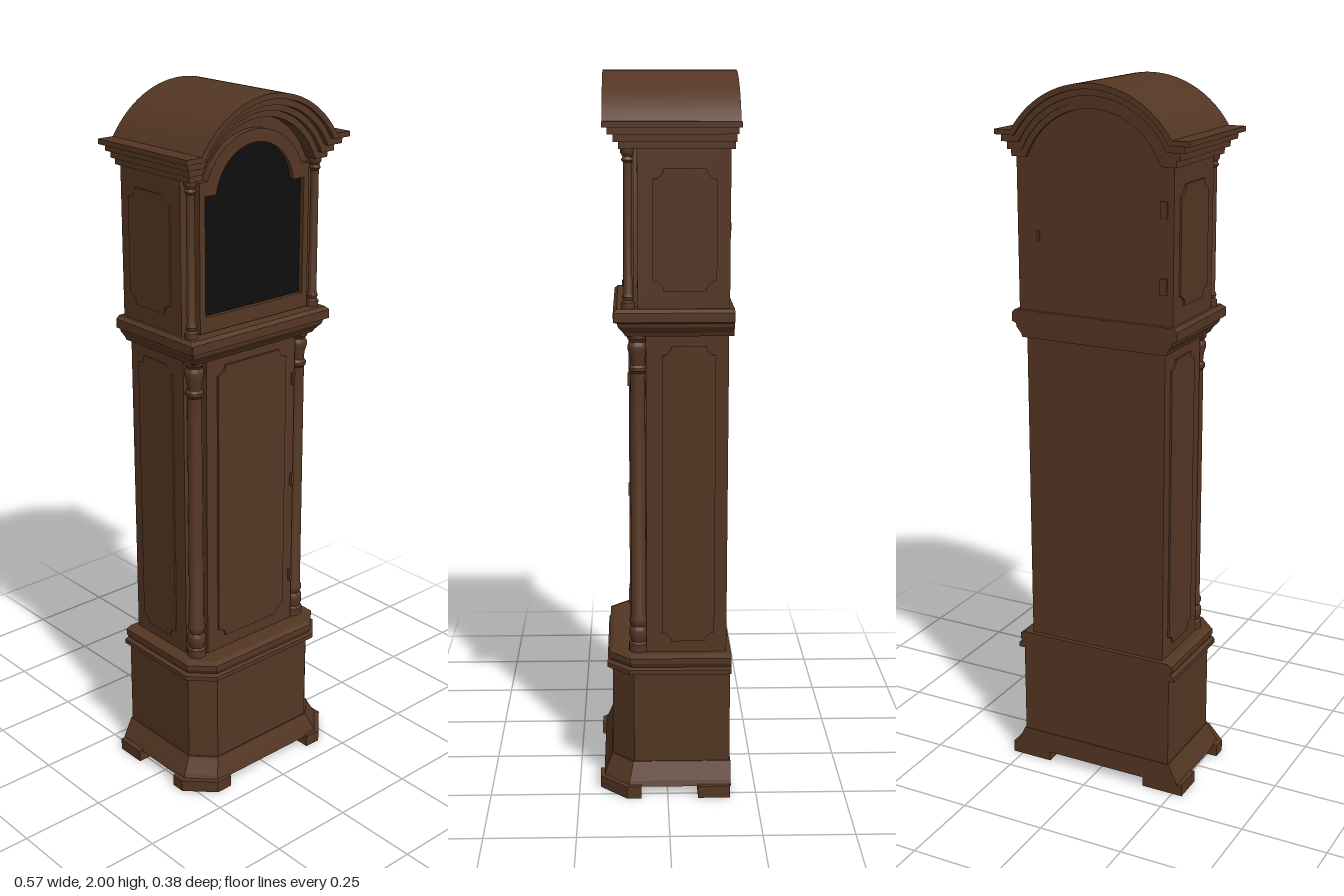
import * as THREE from 'three';
import { toCreasedNormals } from 'three/addons/utils/BufferGeometryUtils.js';

export function createModel() {
  const group = new THREE.Group();
  const wood = new THREE.MeshStandardMaterial({ color: 0x543623 });
  wood.name = 'brown wood';
  const dark = new THREE.MeshStandardMaterial({ color: 0x0e0e0e });
  dark.name = 'dark glass';

  const add = (name, geo, mat = wood) => {
    const m = new THREE.Mesh(geo, mat);
    m.name = name;
    group.add(m);
    return m;
  };
  const box = (name, x0, x1, y0, y1, z0, z1) => {
    const m = add(name, new THREE.BoxGeometry(x1 - x0, y1 - y0, z1 - z0));
    m.position.set((x0 + x1) / 2, (y0 + y1) / 2, (z0 + z1) / 2);
    return m;
  };
  // Extrude a front-facing shape between two depths
  const slab = (name, shape, z0, z1, mat) => {
    const g = new THREE.ExtrudeGeometry(shape, { depth: z1 - z0, bevelEnabled: false, curveSegments: 32 });
    g.translate(0, 0, z0);
    return add(name, toCreasedNormals(g, 0.5), mat);
  };

  // Stack of footprints with cut front corners: [y, half width, front z, corner cut]
  const loft = (name, levels, back) => {
    const pos = [];
    const rings = levels.map(([y, w, f, c]) => [
      [-w + c, y, f], [w - c, y, f], [w, y, f - c], [w, y, back], [-w, y, back], [-w, y, f - c],
    ]);
    const tri = (a, b, c) => pos.push(...a, ...b, ...c);
    for (let k = 0; k + 1 < rings.length; k++) {
      for (let i = 0; i < 6; i++) {
        const j = (i + 1) % 6, lo = rings[k], hi = rings[k + 1];
        tri(lo[i], lo[j], hi[j]);
        tri(lo[i], hi[j], hi[i]);
      }
    }
    const bottom = rings[0], top = rings[rings.length - 1];
    for (let i = 1; i < 5; i++) {
      tri(top[0], top[i], top[i + 1]);
      tri(bottom[0], bottom[i + 1], bottom[i]);
    }
    const g = new THREE.BufferGeometry();
    g.setAttribute('position', new THREE.Float32BufferAttribute(pos, 3));
    g.computeVertexNormals();
    return add(name, g);
  };

  // Panel outline with scooped corners
  const scooped = (w, h, r) => {
    const s = new THREE.Shape(), x = w / 2, y = h / 2;
    s.moveTo(-x + r, -y);
    s.lineTo(x - r, -y);
    s.absarc(x, -y, r, Math.PI, Math.PI / 2, true);
    s.lineTo(x, y - r);
    s.absarc(x, y, r, -Math.PI / 2, -Math.PI, true);
    s.lineTo(-x + r, y);
    s.absarc(-x, y, r, 0, -Math.PI / 2, true);
    s.lineTo(-x, -y + r);
    s.absarc(-x, -y, r, Math.PI / 2, 0, true);
    return s;
  };

  // Outline with straight sides, shoulders and an arched top
  const arched = (w, y0, shoulder, cy, r, Type = THREE.Shape) => {
    const s = new Type(), a = Math.asin((shoulder - cy) / r);
    s.moveTo(-w, y0);
    s.lineTo(w, y0);
    s.lineTo(w, shoulder);
    s.absarc(0, cy, r, a, Math.PI - a, false);
    s.lineTo(-w, shoulder);
    s.closePath();
    return s;
  };

  // Feet
  for (const s of [-1, 1]) {
    const plan = new THREE.Shape([[0.155, 0.19], [0.205, 0.19], [0.28, 0.115], [0.28, 0.075], [0.155, 0.075]]
      .map(([x, z]) => new THREE.Vector2(s * x, -z)));
    const g = new THREE.ExtrudeGeometry(plan, { depth: 0.035, bevelEnabled: false });
    g.rotateX(-Math.PI / 2);
    add('frontFoot', g);
    box('backFoot', s > 0 ? 0.155 : -0.28, s > 0 ? 0.28 : -0.155, 0, 0.035, -0.175, -0.085);
  }

  // Base
  loft('skirting', [[0.03, 0.268, 0.18, 0.07], [0.045, 0.262, 0.175, 0.068], [0.085, 0.242, 0.16, 0.062],
    [0.093, 0.238, 0.157, 0.06]], -0.178);
  loft('base', [[0.09, 0.235, 0.154, 0.06], [0.365, 0.235, 0.154, 0.06]], -0.175);
  loft('baseMoulding', [[0.36, 0.252, 0.168, 0.062], [0.373, 0.252, 0.168, 0.062], [0.377, 0.24, 0.158, 0.06],
    [0.39, 0.246, 0.163, 0.06], [0.405, 0.246, 0.163, 0.06], [0.412, 0.232, 0.15, 0.058]], -0.178);

  // Trunk with its door
  box('trunk', -0.21, 0.21, 0.41, 1.315, -0.165, 0.058);
  box('trunkFront', -0.163, 0.163, 0.41, 1.315, 0.05, 0.098);
  slab('trunkDoorPanel', scooped(0.25, 0.83, 0.026), 0.098, 0.104).position.y = 0.865;
  for (const y of [0.56, 0.87, 1.18]) box('trunkDoorHinge', 0.15, 0.158, y - 0.018, y + 0.018, 0.095, 0.107);

  // Raised side panels on trunk and hood
  for (const s of [-1, 1]) {
    const trunkPanel = slab('trunkSidePanel', scooped(0.145, 0.835, 0.025), 0, 0.005);
    trunkPanel.rotation.y = s * Math.PI / 2;
    trunkPanel.position.set(s * 0.21, 0.862, -0.058);
    const hoodPanel = slab('hoodSidePanel', scooped(0.17, 0.32, 0.028), 0, 0.005);
    hoodPanel.rotation.y = s * Math.PI / 2;
    hoodPanel.position.set(s * 0.232, 1.59, -0.045);
  }

  // Turned columns, profile given as [radius, height]
  const column = (name, profile, x, z) => {
    const g = new THREE.LatheGeometry(profile.map(([r, y]) => new THREE.Vector2(r, y)), 20);
    add(name, toCreasedNormals(g, 0.6)).position.set(x, 0, z);
  };
  const trunkProfile = [[0.027, 0.41], [0.027, 0.435], [0.021, 0.44], [0.026, 0.455], [0.026, 0.475], [0.02, 0.485],
    [0.025, 0.497], [0.025, 0.505], [0.021, 0.515], [0.02, 1.205], [0.025, 1.212], [0.025, 1.22], [0.019, 1.228],
    [0.021, 1.25], [0.027, 1.27], [0.027, 1.28], [0.021, 1.29], [0.028, 1.3], [0.028, 1.315]];
  const hoodProfile = [[0.018, 1.38], [0.018, 1.40], [0.013, 1.405], [0.016, 1.415], [0.012, 1.425], [0.011, 1.765],
    [0.016, 1.772], [0.012, 1.78], [0.018, 1.79], [0.018, 1.805]];
  for (const s of [-1, 1]) {
    column('trunkColumn', trunkProfile, s * 0.19, 0.08);
    column('hoodColumn', hoodProfile, s * 0.219, 0.105);
  }

  // Moulding between trunk and hood
  loft('waistMoulding', [[1.308, 0.218, 0.112, 0.002], [1.318, 0.222, 0.118, 0.002], [1.335, 0.236, 0.132, 0.002],
    [1.345, 0.238, 0.134, 0.002], [1.35, 0.25, 0.145, 0.002], [1.375, 0.25, 0.145, 0.002],
    [1.384, 0.24, 0.135, 0.002]], -0.178);

  // Hood case, spandrel and glazed door
  const cy = 1.723;
  slab('hoodCase', arched(0.232, 1.38, 1.84, cy, 0.25), -0.165, 0.08);
  slab('hoodFrontBoard', arched(0.205, 1.38, 1.81, cy, 0.225), 0.08, 0.09);
  const glassOutline = (T) => arched(0.174, 1.43, 1.752, 1.732, 0.137, T);
  const frame = arched(0.193, 1.388, 1.79, 1.725, 0.178);
  frame.holes.push(glassOutline(THREE.Path));
  slab('hoodDoorFrame', frame, 0.088, 0.11);
  slab('dialGlass', glassOutline(THREE.Shape), 0.09, 0.097, dark);

  // Arched cornice, stepping inward and down:
  // [half width, shoulder y, bottom y, outer radius, inner radius, back z, front z]
  const steps = [
    [0.284, 1.87, 1.856, 0.277, 0.262, -0.19, 0.17],
    [0.268, 1.86, 1.838, 0.267, 0.245, -0.182, 0.157],
    [0.253, 1.843, 1.818, 0.25, 0.229, -0.178, 0.142],
    [0.242, 1.823, 1.8, 0.234, 0.212, -0.175, 0.128],
  ];
  for (const [w, top, bottom, R, r, z0, z1] of steps) {
    const s = new THREE.Shape();
    const a = Math.asin((top - cy) / R), b = Math.asin((bottom - cy) / r);
    s.moveTo(w, bottom);
    s.lineTo(w, top);
    s.absarc(0, cy, R, a, Math.PI - a, false);
    s.lineTo(-w, top);
    s.lineTo(-w, bottom);
    s.absarc(0, cy, r, Math.PI - b, b, true);
    s.closePath();
    slab('archedCornice', s, z0, z1);
  }

  // Hinges and catch on the back
  for (const y of [1.49, 1.69]) box('backHinge', -0.215, -0.195, y - 0.022, y + 0.022, -0.172, -0.164);
  box('backCatch', 0.165, 0.173, 1.575, 1.605, -0.17, -0.164);

  return group;
}
